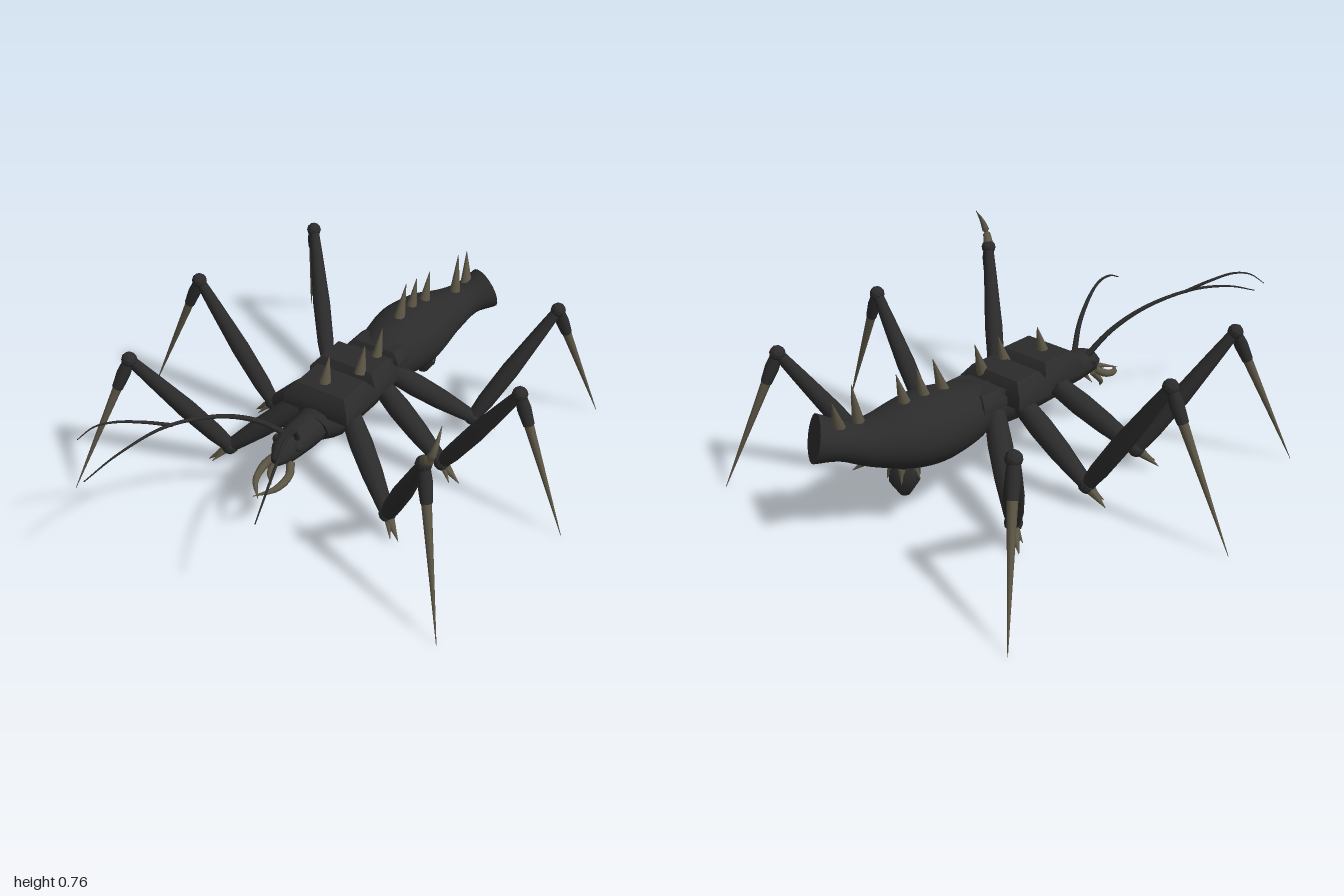
import * as THREE from 'three';

const V = (p) => new THREE.Vector3(...p);

// Closed loft of round sections through points, with creased end caps
function loft(points, radii, sides, squash = 1) {
  const P = points.map(V), pos = [], idx = [];
  const ring = (i) => {
    const t = P[Math.min(i + 1, P.length - 1)].clone().sub(P[Math.max(i - 1, 0)]).normalize();
    const ref = Math.abs(t.y) > 0.9 ? V([0, 0, 1]) : V([0, 1, 0]);
    const u = new THREE.Vector3().crossVectors(ref, t).normalize();
    const w = new THREE.Vector3().crossVectors(t, u);
    const start = pos.length / 3;
    for (let j = 0; j < sides; j++) {
      const a = (j / sides) * Math.PI * 2;
      const p = P[i].clone().addScaledVector(u, Math.cos(a) * radii[i]).addScaledVector(w, Math.sin(a) * radii[i] * squash);
      pos.push(p.x, p.y, p.z);
    }
    return start;
  };
  const rings = P.map((_, i) => ring(i));
  for (let i = 0; i < P.length - 1; i++) {
    for (let j = 0; j < sides; j++) {
      const k = (j + 1) % sides, a = rings[i], b = rings[i + 1];
      idx.push(a + j, a + k, b + k, a + j, b + k, b + j);
    }
  }
  for (const end of [0, P.length - 1]) {
    const s = ring(end), c = pos.length / 3;
    pos.push(P[end].x, P[end].y, P[end].z);
    for (let j = 0; j < sides; j++) {
      const k = (j + 1) % sides;
      if (end) idx.push(c, s + j, s + k); else idx.push(c, s + k, s + j);
    }
  }
  const g = new THREE.BufferGeometry();
  g.setAttribute('position', new THREE.Float32BufferAttribute(pos, 3));
  g.setIndex(idx);
  g.computeVertexNormals();
  return g;
}

// Smoothly resampled loft
function smoothLoft(points, radii, sides, steps, squash) {
  const curve = new THREE.CatmullRomCurve3(points.map(V));
  const rc = new THREE.CatmullRomCurve3(radii.map((r, i) => new THREE.Vector3(i, r, 0)));
  const pts = [], rs = [];
  for (let i = 0; i <= steps; i++) {
    pts.push(curve.getPoint(i / steps).toArray());
    rs.push(rc.getPoint(i / steps).y);
  }
  return loft(pts, rs, sides, squash);
}

const mix = (a, b, t) => a.map((v, i) => v + (b[i] - v) * t);

export function createModel() {
  const model = new THREE.Group();
  model.name = 'insect';
  const shell = new THREE.MeshStandardMaterial({ color: 0x2b2b2b });
  shell.name = 'charcoal shell';
  const horn = new THREE.MeshStandardMaterial({ color: 0x5c5645 });
  horn.name = 'olive horn';
  const add = (name, geo, mat, parent = model) => {
    const m = new THREE.Mesh(geo, mat);
    m.name = name;
    parent.add(m);
    return m;
  };
  const spike = (name, base, tip, r, parent) => add(name, loft([base, tip], [r, 0.001], 8), horn, parent);
  const knob = (name, p, r, parent) => {
    const g = new THREE.IcosahedronGeometry(r, 1);
    g.computeVertexNormals();
    return add(name, g, shell, parent).position.set(...p);
  };

  // Abdomen, curving aside to a flared blunt end
  add('abdomen', smoothLoft(
    [[0.03, 0.34, -0.3], [0.03, 0.345, -0.42], [0.035, 0.35, -0.55], [0.05, 0.355, -0.67], [0.085, 0.365, -0.79], [0.125, 0.39, -0.88], [0.168, 0.413, -0.957]],
    [0.1, 0.135, 0.152, 0.138, 0.1, 0.08, 0.096], 20, 24, 0.88), shell);

  // Thorax and head
  add('thorax', loft([[0.03, 0.31, 0.14], [0.03, 0.32, 0.08], [0.03, 0.32, -0.15], [0.03, 0.33, -0.38]], [0.07, 0.105, 0.11, 0.1], 12, 0.85), shell);
  add('head', loft([[0.02, 0.31, 0.1], [0.018, 0.31, 0.2], [0.018, 0.31, 0.27], [0.018, 0.3, 0.32], [0.018, 0.285, 0.365]],
    [0.07, 0.068, 0.062, 0.05, 0.02], 10, 0.92), shell);
  for (const s of [-1, 1]) knob('eye', [0.018 + s * 0.045, 0.325, 0.285], 0.02);

  // Bevelled back plates: x range, z range, bottom, top
  const plates = [
    [-0.11, 0.17, -0.085, 0.125, 0.36, 0.45],
    [-0.135, 0.165, -0.26, -0.085, 0.35, 0.445],
    [-0.095, 0.145, -0.4, -0.28, 0.37, 0.43],
  ];
  for (const [x0, x1, z0, z1, y0, y1] of plates) {
    const g = new THREE.BoxGeometry(x1 - x0, y1 - y0, z1 - z0, 1, 2, 1);
    const p = g.attributes.position;
    for (let i = 0; i < p.count; i++) {
      if (p.getY(i) > 0.001) {
        p.setX(i, p.getX(i) * 0.75);
        p.setZ(i, p.getZ(i) * 0.68);
      }
    }
    g.computeVertexNormals();
    add('backPlate', g, shell).position.set((x0 + x1) / 2, (y0 + y1) / 2, (z0 + z1) / 2);
  }
  add('waist', new THREE.BoxGeometry(0.19, 0.1, 0.16), shell).position.set(0.03, 0.36, -0.26);

  // Row of back spikes: base, tip
  const spikes = [
    [[0.015, 0.44, 0.035], [0.015, 0.55, 0.005]],
    [[0.08, 0.43, -0.11], [0.08, 0.54, -0.14]],
    [[0.08, 0.42, -0.225], [0.08, 0.55, -0.265]],
    [[0.03, 0.46, -0.48], [0.03, 0.6, -0.525]],
    [[0.035, 0.46, -0.565], [0.035, 0.59, -0.6]],
    [[0.05, 0.46, -0.645], [0.05, 0.59, -0.68]],
    [[0.1, 0.43, -0.815], [0.09, 0.6, -0.845]],
    [[0.11, 0.45, -0.895], [0.08, 0.57, -0.94]],
  ];
  for (const [b, t] of spikes) spike('backSpike', b, t, 0.025);

  // Legs: hip, low knee, high joint, foot tip
  const legs = [
    ['rightFront', [-0.07, 0.33, 0.02], [-0.34, 0.085, 0.18], [-0.58, 0.56, 0.445], [-0.75, 0, 0.64]],
    ['rightMiddle', [-0.07, 0.33, -0.18], [-0.37, 0.085, -0.155], [-0.695, 0.58, -0.12], [-0.95, 0, -0.09]],
    ['rightRear', [-0.06, 0.33, -0.31], [-0.34, 0.085, -0.52], [-0.585, 0.545, -0.78], [-0.75, 0, -0.995]],
    ['leftFront', [0.12, 0.33, 0.02], [0.39, 0.085, 0.18], [0.655, 0.6, 0.415], [0.83, 0, 0.58]],
    ['leftMiddle', [0.12, 0.33, -0.205], [0.41, 0.085, -0.195], [0.715, 0.55, -0.17], [0.945, 0, -0.155]],
    ['leftRear', [0.1, 0.33, -0.31], [0.37, 0.085, -0.52], [0.58, 0.54, -0.775], [0.73, 0, -0.96]],
  ];
  for (const [name, hip, knee, top, tip] of legs) {
    const leg = new THREE.Group();
    leg.name = name + 'Leg';
    model.add(leg);
    const segment = (n, a, b, ts, rs) => add(n, loft(ts.map((t) => mix(a, b, t)), rs, 10), shell, leg);
    segment('upperLeg', hip, knee, [0, 0.3, 0.6, 0.9, 1], [0.04, 0.046, 0.042, 0.031, 0.026]);
    segment('lowerLeg', knee, top, [0, 0.15, 0.45, 0.8, 1], [0.026, 0.035, 0.037, 0.027, 0.02]);
    knob('kneeJoint', knee, 0.034, leg);
    knob('highJoint', top, 0.03, leg);
    segment('footSleeve', top, tip, [0, 0.1, 0.21], [0.02, 0.026, 0.021]);
    spike('footSpike', mix(top, tip, 0.18), tip, 0.019, leg);
    // Spurs carry on past the knee
    spike('kneeSpur', knee, mix(hip, knee, 1.28), 0.025, leg);
    spike('kneeSpurSmall', knee, mix(hip, knee, 1.18).map((v, i) => v + [0, -0.015, 0.03][i]), 0.018, leg);
  }
  // Curved horn on one high joint
  add('jointHorn', smoothLoft([[0.655, 0.61, 0.415], [0.69, 0.65, 0.44], [0.703, 0.7, 0.43], [0.7, 0.757, 0.39]],
    [0.02, 0.016, 0.01, 0.001], 8, 10), horn);

  // Antennae, one of them forked
  const feeler = (name, pts, r) => add(name, smoothLoft(pts, pts.map((_, i) => r * (1 - i / pts.length)), 6, 24), shell);
  feeler('leftAntenna', [[0.05, 0.35, 0.27], [0.08, 0.43, 0.33], [0.13, 0.495, 0.45], [0.19, 0.51, 0.59], [0.24, 0.485, 0.73], [0.265, 0.445, 0.82]], 0.012);
  feeler('rightAntenna', [[-0.015, 0.35, 0.27], [-0.06, 0.44, 0.36], [-0.125, 0.515, 0.49], [-0.21, 0.555, 0.68], [-0.27, 0.53, 0.87], [-0.31, 0.483, 1]], 0.012);
  feeler('rightAntennaFork', [[-0.2, 0.552, 0.66], [-0.26, 0.59, 0.74], [-0.32, 0.615, 0.82], [-0.365, 0.607, 0.87], [-0.405, 0.565, 0.915]], 0.007);

  // Mandibles and smaller mouth hooks
  for (const s of [-1, 1]) {
    const x = (d) => 0.018 + s * d;
    add('mandible', smoothLoft([[x(0.035), 0.27, 0.32], [x(0.056), 0.245, 0.36], [x(0.045), 0.225, 0.43], [x(-0.012), 0.21, 0.495]],
      [0.016, 0.016, 0.012, 0.001], 8, 10), horn);
    add('mouthHook', smoothLoft([[x(0.03), 0.26, 0.31], [x(0.04), 0.21, 0.35], [x(0.02), 0.175, 0.37]],
      [0.014, 0.01, 0.001], 8, 8), horn);
  }

  // Hanging bulb under the abdomen
  add('bulbStalk', loft([[0.05, 0.29, -0.645], [0.05, 0.2, -0.662]], [0.03, 0.035], 8), shell);
  add('bulb', loft([[0.05, 0.245, -0.66], [0.05, 0.215, -0.665], [0.05, 0.165, -0.667], [0.05, 0.115, -0.665]],
    [0.035, 0.058, 0.054, 0.02], 8), shell);
  for (let i = 0; i < 5; i++) {
    const a = (i / 5) * Math.PI * 2 + 0.3, c = Math.cos(a), s = Math.sin(a);
    spike('bulbThorn', [0.05 + c * 0.045, 0.235, -0.665 + s * 0.045], [0.05 + c * 0.062, 0.185, -0.665 + s * 0.062], 0.014);
  }
  return model;
}
